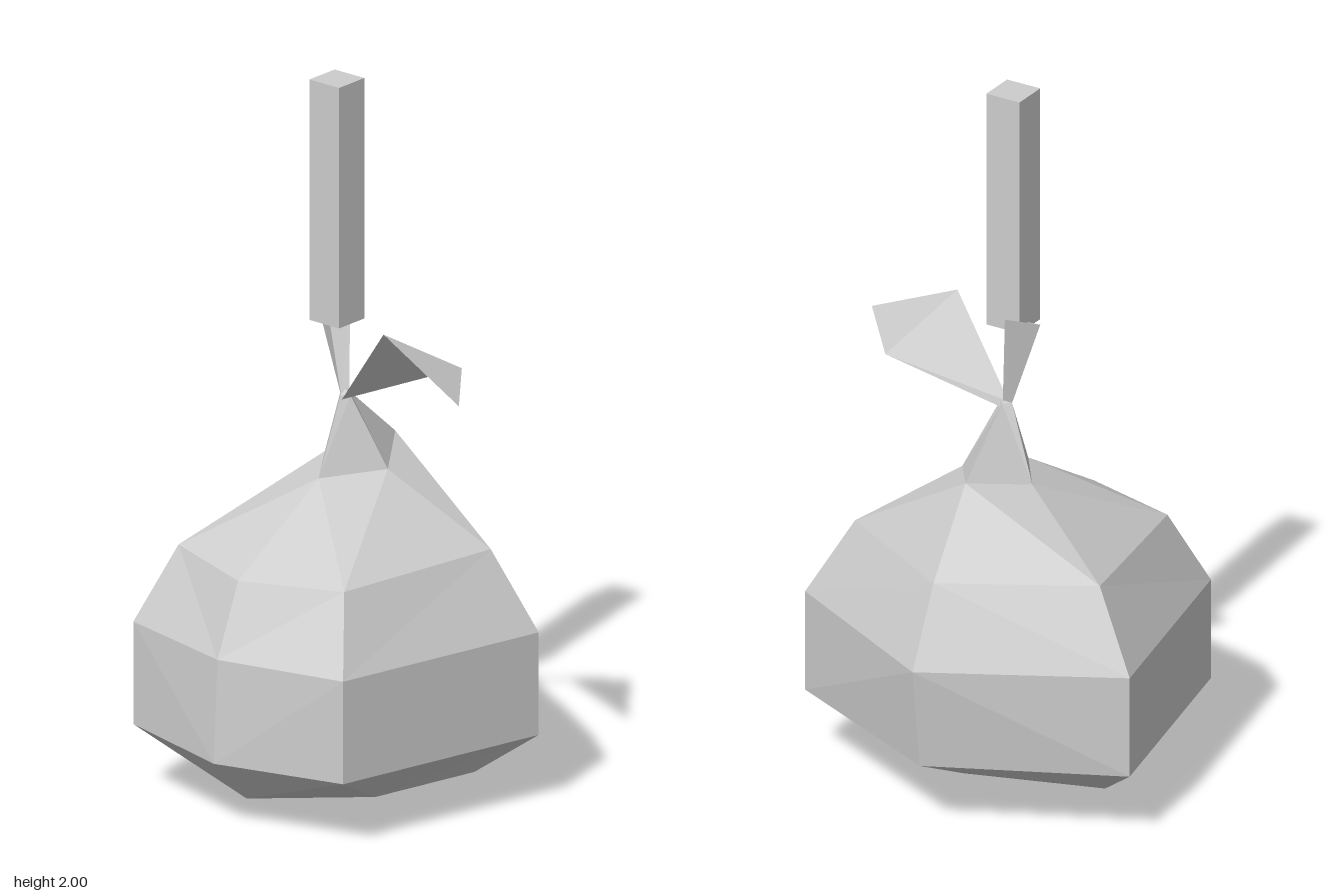
import * as THREE from 'three';

const grey = new THREE.MeshStandardMaterial({ color: 0xcccccc });
grey.name = 'grey';
const greyCloth = grey.clone();
greyCloth.name = 'grey cloth';
greyCloth.side = THREE.DoubleSide;

// Flat-faced mesh from a list of corner triples
function facets(name, triangles, material) {
  const geometry = new THREE.BufferGeometry();
  geometry.setAttribute('position', new THREE.Float32BufferAttribute(triangles.flat(2), 3));
  geometry.computeVertexNormals();
  const mesh = new THREE.Mesh(geometry, material);
  mesh.name = name;
  return mesh;
}

// Half cross-sections from bottom to neck: front, front corner, side, back
const bottom = [0, 0.005, -0.03];
const knot = [0, 1.115, -0.035];
const rings = [
  [[0, 0.065, 0.37], [0.28, 0.08, 0.17], [0.37, 0.09, -0.13], [0, 0.09, -0.25]],
  [[0, 0.2, 0.505], [0.367, 0.2, 0.405], [0.51, 0.2, -0.23], [0, 0.2, -0.47]],
  [[0, 0.49, 0.49], [0.367, 0.49, 0.405], [0.51, 0.49, -0.23], [0, 0.49, -0.505]],
  [[0, 0.69, 0.405], [0.29, 0.7, 0.31], [0.385, 0.71, -0.18], [0, 0.71, -0.4]],
  [[0, 0.89, 0.075], [0, 0.89, 0.075], [0.11, 0.9, -0.08], [0, 0.94, -0.24]],
  [[0, 1.1, -0.015], [0, 1.1, -0.015], [0.018, 1.1, -0.035], [0, 1.1, -0.055]],
];

function sackTriangles() {
  const half = [];
  const same = (p, q) => p.every((v, i) => v === q[i]);
  const add = (a, b, c) => {
    if (!same(a, b) && !same(b, c) && !same(a, c)) half.push([a, b, c]);
  };
  const last = rings[rings.length - 1];
  for (let j = 0; j < 3; j++) {
    add(bottom, rings[0][j + 1], rings[0][j]);
    for (let i = 0; i < rings.length - 1; i++) {
      const lo = rings[i], hi = rings[i + 1];
      add(lo[j], lo[j + 1], hi[j + 1]);
      add(lo[j], hi[j + 1], hi[j]);
    }
    add(last[j], last[j + 1], knot);
  }
  // Mirror to the other side with reversed winding
  const flip = ([x, y, z]) => [-x, y, z];
  return half.concat(half.map(([a, b, c]) => [flip(a), flip(c), flip(b)]));
}

export function createModel() {
  const group = new THREE.Group();
  group.name = 'hangingSack';

  group.add(facets('sack', sackTriangles(), grey));

  // Long folded cloth end
  const a = [0.21, 1.34, 0.055], b = [0.305, 1.21, -0.155], c = [0.495, 1.21, 0.08];
  const r0 = [0.005, 1.09, -0.015], r1 = [0.005, 1.09, -0.055];
  group.add(facets('longClothEnd', [[r0, r1, b], [r0, b, a], [a, b, c]], greyCloth));

  // Short folded cloth end rising to the hanger
  const d = [-0.11, 1.355, -0.04], e = [-0.03, 1.37, -0.09], f = [-0.03, 1.33, 0];
  const l0 = [-0.015, 1.09, -0.035], l1 = [0.005, 1.09, -0.045];
  group.add(facets('shortClothEnd', [[l0, l1, e], [l0, e, d], [l0, d, f]], greyCloth));

  // Square hanging post
  const post = new THREE.Mesh(new THREE.BoxGeometry(0.104, 0.68, 0.104), grey);
  post.name = 'hangingPost';
  post.position.y = 1.66;
  group.add(post);

  return group;
}
